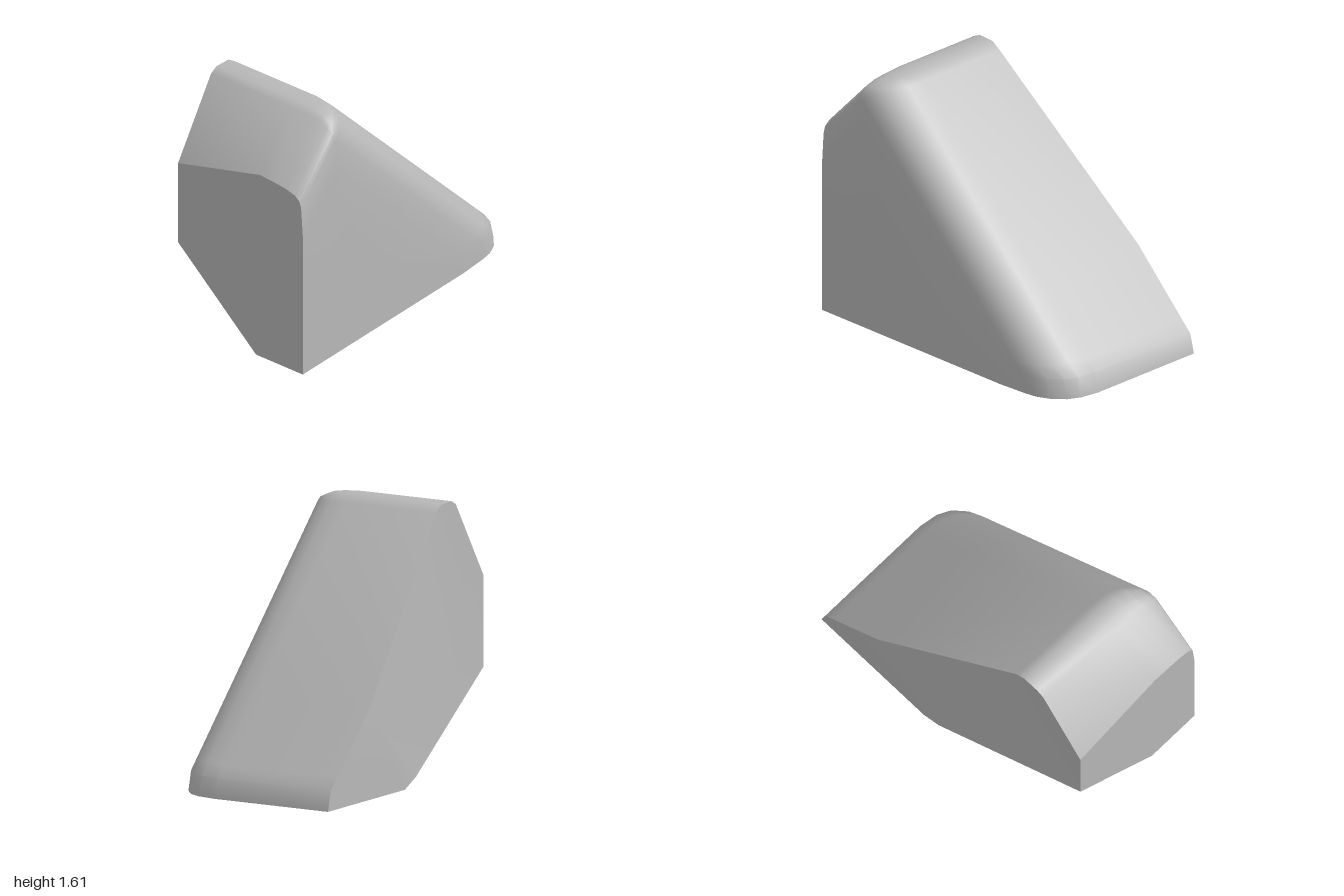
import * as THREE from 'three';
import { toCreasedNormals } from 'three/addons/utils/BufferGeometryUtils.js';

// Point order in every section loop
const A0 = 0, A1 = 1, B = 2, C = 3, C2 = 4, D = 5, E = 6, M = 7, F = 8, G = 9, H = 10, N = 11, K = 12;

// Clockwise outline at depth z: right slope moved in by d, left slope lowered by e, ridge rounding scaled by k
function section(z, d, e, k) {
  const left = 2.27 - e, right = 1.09 - d;
  const tx = (right - left) / 2, ty = (right + left) / 2;
  return [
    [-1, 0], [-1, 0.55], [-1, left - 1.01],
    [tx - 0.1 * k, ty - 0.1 * k], [tx - 0.05 * k, ty - 0.075 * k],
    [tx + 0.06 * k, ty - 0.08 * k], [tx + 0.12 * k, ty - 0.12 * k],
    [0.53 - d, 0.56], [0.9 - d, 0.19], [0.97 - d, 0.12], [1 - d, 0], [0.145, 0],
  ].map(([x, y]) => [x, y, z]);
}

// Rearmost outline, following the slanted cuts
function backSection() {
  const ring = section(-0.57, 0, 0, 1);
  ring[A0][2] = 0.2;
  for (const i of [A1, B, C, C2, D, E]) ring[i][2] = -0.4;
  ring[B][1] = 1.1;
  return ring;
}

function wedgeGeometry() {
  const rings = [
    backSection(),
    section(0.23, 0, 0, 1),
    section(0.35, 0.02, 0.01, 0.9),
    section(0.43, 0.06, 0.02, 0.75),
    section(0.5, 0.14, 0.04, 0.5),
    section(0.535, 0.22, 0.07, 0.3),
    section(0.547, 0.3, 0.11, 0.12),
    section(0.56, 0.5, 0.3, 0.12),
  ];
  const pos = [];
  const tri = (a, b, c) => pos.push(...a, ...b, ...c);
  const n = rings[0].length;

  // Sides, bottom and rounded front edges
  for (let r = 0; r < rings.length - 1; r++) {
    const p = rings[r], q = rings[r + 1];
    for (let i = 0; i < n; i++) {
      const j = (i + 1) % n;
      tri(p[i], q[i], p[j]);
      tri(p[j], q[i], q[j]);
    }
  }

  // Front face
  const front = rings[rings.length - 1];
  const centre = [-0.4, 0.5, 0.56];
  for (let i = 0; i < n; i++) tri(centre, front[(i + 1) % n], front[i]);

  // Back: lower corner cut, flat back, slanted cut and its upper end
  const back = [...rings[0], [0.02, 0.06, -0.57]];
  const faces = [
    [A0, A1, K, N],
    [N, K, M, F, G, H],
    [A1, E, M, K],
    [A1, B, C, C2, D, E],
  ];
  for (const f of faces) {
    for (let i = 1; i < f.length - 1; i++) tri(back[f[0]], back[f[i]], back[f[i + 1]]);
  }

  const geo = new THREE.BufferGeometry();
  geo.setAttribute('position', new THREE.Float32BufferAttribute(pos, 3));
  return toCreasedNormals(geo, THREE.MathUtils.degToRad(32));
}

export function createModel() {
  const group = new THREE.Group();
  group.name = 'wedgeBlock';
  const grey = new THREE.MeshStandardMaterial({ color: 0xb8b8b8 });
  grey.name = 'light grey';
  const body = new THREE.Mesh(wedgeGeometry(), grey);
  body.name = 'wedgeBody';
  group.add(body);
  return group;
}
